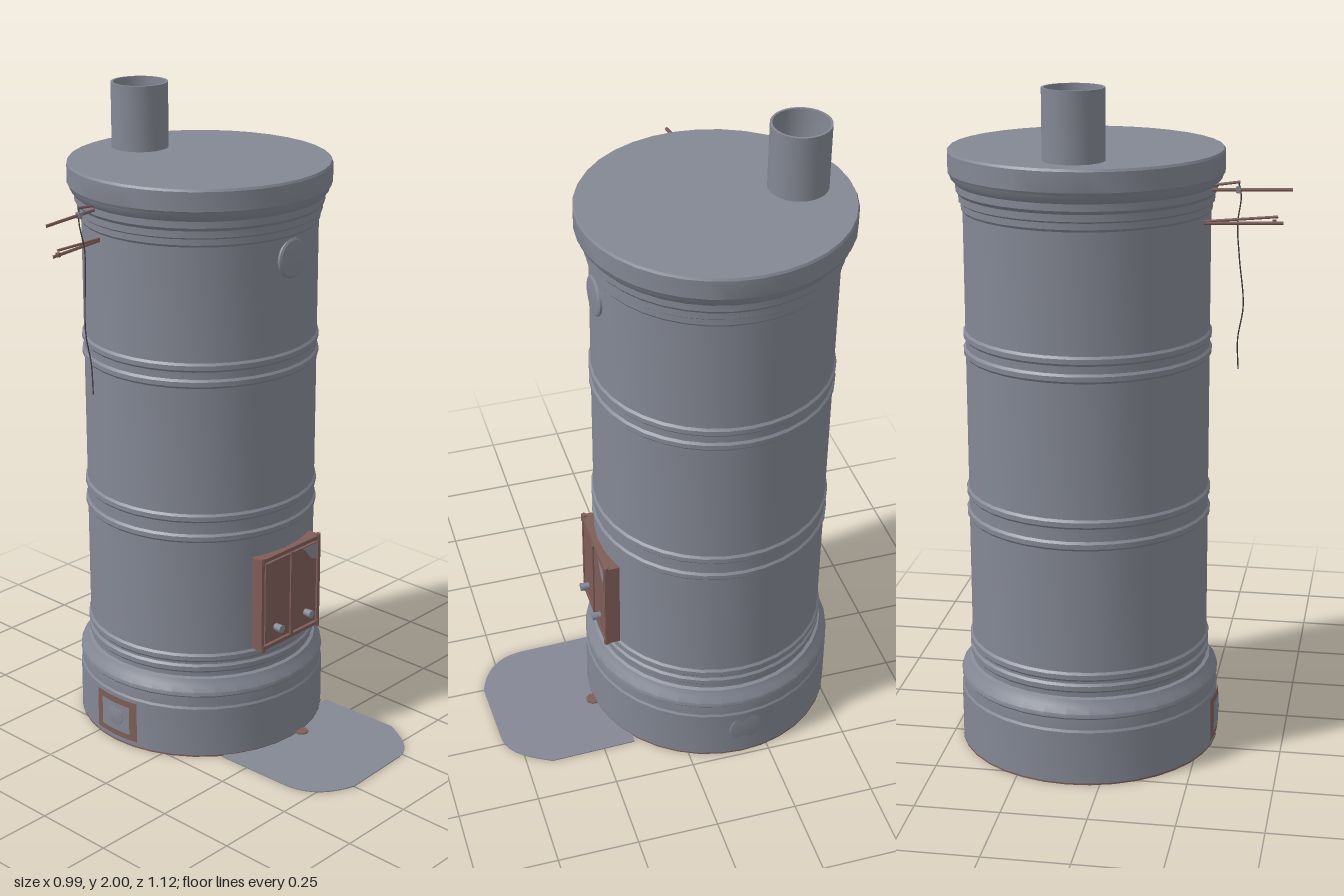
import * as THREE from 'three';
import { toCreasedNormals } from 'three/addons/utils/BufferGeometryUtils.js';

const CX = 0.095, CZ = -0.165; // axis of the stove body

const mat = (name, color, side = THREE.FrontSide) => {
  const m = new THREE.MeshStandardMaterial({ color, side });
  m.name = name;
  return m;
};

export function createModel() {
  const root = new THREE.Group();
  root.name = 'roundStove';
  const iron = mat('grey iron', 0x848894, THREE.DoubleSide);
  const rust = mat('rusty brown', 0x7f5d58);
  const dark = mat('dark iron', 0x453f41);

  const add = (name, geo, material, x = 0, y = 0, z = 0, parent = root) => {
    const mesh = new THREE.Mesh(geo, material);
    mesh.name = name;
    mesh.position.set(x, y, z);
    parent.add(mesh);
    return mesh;
  };
  const box = (name, w, h, d, material, x, y, z, parent) =>
    add(name, new THREE.BoxGeometry(w, h, d), material, x, y, z, parent);
  const lathe = (points, segments) => toCreasedNormals(
    new THREE.LatheGeometry(points.map(([r, y]) => new THREE.Vector2(r, y)), segments), 0.5);
  const v = (x, y, z) => new THREE.Vector3(x, y, z);

  // Base, drum with raised bands, cornice and lid in one profile
  const band = (y) => [[0.356, y - 0.014], [0.362, y - 0.007], [0.362, y + 0.007], [0.356, y + 0.014]];
  add('body', lathe([
    [0, 0], [0.39, 0], [0.39, 0.165], [0.386, 0.172], [0.386, 0.205], [0.39, 0.21], [0.388, 0.222],
    [0.374, 0.24], [0.366, 0.258], [0.356, 0.262],
    ...band(0.29), ...band(0.325), ...band(0.725), ...band(0.79), ...band(1.215), ...band(1.265),
    [0.356, 1.625], [0.361, 1.632], [0.361, 1.65], [0.367, 1.655], [0.367, 1.675], [0.375, 1.685],
    [0.375, 1.705], [0.388, 1.72], [0.391, 1.73], [0.396, 1.738], [0.396, 1.795], [0.392, 1.802], [0, 1.802],
  ], 36), iron, CX, 0, CZ);

  // Flue pipe, open at the top, with a bowl-shaped bottom
  add('fluePipe', lathe([
    [0.087, 1.8], [0.087, 2], [0.08, 2], [0.08, 1.85], [0.07, 1.83], [0.05, 1.815], [0.025, 1.807], [0, 1.804],
  ], 28), iron, 0.087, 0, -0.408);

  // Round clean-out covers: slightly domed discs turned outwards by angle a from the front
  const cover = (name, a, y, r, R) => {
    const g = lathe([[r, -0.012], [r, 0.002], [r * 0.9, 0.006], [r * 0.5, 0.008], [0, 0.009]], 24);
    g.rotateX(Math.PI / 2);
    add(name, g, iron, CX + R * Math.sin(a), y, CZ + R * Math.cos(a)).rotation.y = a;
  };
  cover('upperCover', 0.04, 1.56, 0.06, 0.355);
  cover('sideCover', Math.PI / 2 + 0.03, 0.1, 0.055, 0.382);

  // Ash door curved around the base on the right side: rusty frame, grey panel, round cover
  const ashAngle = -Math.PI / 2;
  const curvedPlate = (name, r, h, half, material) =>
    add(name, new THREE.CylinderGeometry(r, r, h, 8, 1, true, ashAngle - half, half * 2), material, CX, 0.088, CZ);
  curvedPlate('ashDoorFrame', 0.393, 0.135, 0.22, rust);
  curvedPlate('ashDoorPanel', 0.395, 0.095, 0.15, iron);
  cover('ashDoorCover', ashAngle, 0.09, 0.035, 0.389);

  // Rust along the foot of the base and one spot on the floor plate
  add('rustyFoot', new THREE.CylinderGeometry(0.391, 0.391, 0.005, 36, 1, true), rust, CX, 0.0025, CZ);
  add('rustSpot', new THREE.CylinderGeometry(0.022, 0.022, 0.004, 10), rust, 0.14, 0.005, 0.23);

  // Fire door: frame, two leaves, hinges and knobs
  const door = new THREE.Group();
  door.name = 'fireDoor';
  door.position.set(0.105, 0.495, 0);
  root.add(door);
  box('doorBacking', 0.26, 0.3, 0.04, rust, 0, 0, 0.178, door);
  for (const s of [-1, 1]) {
    box('frameRail', 0.272, 0.012, 0.046, rust, 0, s * 0.147, 0.186, door);
    box('frameStile', 0.012, 0.3, 0.046, rust, s * 0.13, 0, 0.186, door);
    box('doorLeaf', 0.112, 0.268, 0.012, rust, s * 0.062, 0, 0.202, door);
    const knob = add('knob', new THREE.CylinderGeometry(0.013, 0.011, 0.028, 12), iron, s * 0.07, -0.09, 0.221, door);
    knob.rotation.x = Math.PI / 2;
    for (const y of [-0.147, 0.147])
      add('hinge', new THREE.CylinderGeometry(0.009, 0.009, 0.022, 10), rust, s * 0.128, y, 0.204, door);
  }
  box('centreBar', 0.012, 0.28, 0.02, rust, 0, 0, 0.203, door);

  // Worn patch on the door corner
  const patch = new THREE.Shape([[0.05, 0.132], [0.117, 0.132], [0.117, 0.078], [0.095, 0.085], [0.08, 0.1], [0.068, 0.118]]
    .map(([x, y]) => new THREE.Vector2(x, y)));
  add('wornPatch', new THREE.ShapeGeometry(patch), iron, 0, 0, 0.209, door);

  // Damper rods sticking out to the side
  const rod = (name, a, b, r, material) =>
    add(name, new THREE.TubeGeometry(new THREE.LineCurve3(a, b), 1, r, 6), material);
  rod('upperRod', v(-0.24, 1.7, -0.24), v(-0.495, 1.7, -0.2), 0.005, rust);
  rod('lowerRod', v(-0.24, 1.605, -0.24), v(-0.47, 1.605, -0.203), 0.005, rust);
  rod('upperBrace', v(-0.25, 1.71, -0.238), v(-0.35, 1.722, -0.222), 0.004, rust);
  rod('lowerBrace', v(-0.25, 1.61, -0.238), v(-0.455, 1.622, -0.2), 0.004, rust);
  box('rodClamp', 0.012, 0.018, 0.016, iron, -0.345, 1.7, -0.222);
  box('rodEnd', 0.01, 0.012, 0.012, rust, -0.445, 1.608, -0.203);

  // Thin pull cord hanging from the rods
  const cord = new THREE.CatmullRomCurve3([
    v(-0.345, 1.72, -0.222), v(-0.352, 1.68, -0.215), v(-0.342, 1.6, -0.205), v(-0.348, 1.5, -0.2),
    v(-0.36, 1.36, -0.19), v(-0.345, 1.26, -0.185), v(-0.347, 1.17, -0.178)]);
  add('pullCord', new THREE.TubeGeometry(cord, 32, 0.002, 5), dark);

  // Floor plate in front of the stove, rounded at the front corners
  const plate = new THREE.Shape();
  plate.moveTo(-0.145, -0.15);
  plate.lineTo(-0.138, -0.41);
  plate.bezierCurveTo(-0.13, -0.5, -0.07, -0.54, 0, -0.562);
  plate.lineTo(0.23, -0.554);
  plate.bezierCurveTo(0.3, -0.545, 0.33, -0.48, 0.362, -0.42);
  plate.lineTo(0.355, -0.15);
  const plateGeo = new THREE.ExtrudeGeometry(plate, { depth: 0.003, bevelEnabled: false, curveSegments: 8 });
  plateGeo.rotateX(-Math.PI / 2);
  add('floorPlate', plateGeo, iron);

  return root;
}
